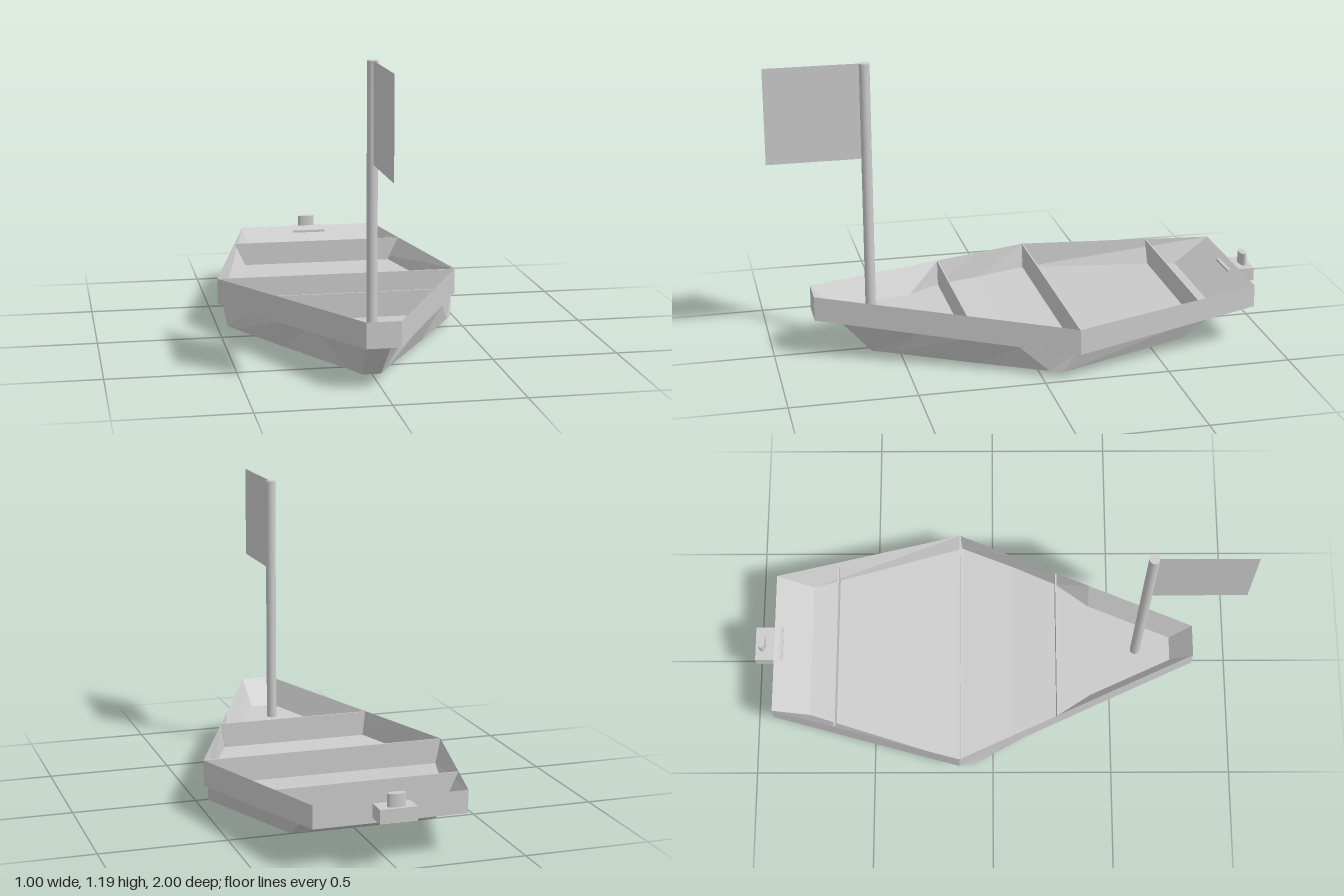
import * as THREE from 'three';

const grey = new THREE.MeshStandardMaterial({ color: 0xcccccc, flatShading: true });
const greyBoth = new THREE.MeshStandardMaterial({ color: 0xcccccc, flatShading: true, side: THREE.DoubleSide });

// Half outlines [x, y, z] from bow to stern; mirrored into closed rings
const ring = (half) => [...half, ...half.map(([x, y, z]) => [-x, y, z]).reverse()];

// Outer plank edge: piecewise straight bow -> widest point -> stern
const bow = [0.065, 0.84], mid = [0.5, -0.14], stern = [0.3, -0.92];
function plankEdge(yBow, yMid, yStern) {
  const front = [0.84, 0.41, 0.27, 0.08, -0.14].map((z) => {
    const t = (bow[1] - z) / (bow[1] - mid[1]);
    return [bow[0] + (mid[0] - bow[0]) * t, yBow + (yMid - yBow) * t, z];
  });
  return ring([...front, [stern[0], yStern, stern[1]]]);
}

const rimTop = plankEdge(0.265, 0.21, 0.25);
const rimBottom = plankEdge(0.165, 0.105, 0.16);
const floorEdge = ring([
  [0.05, 0.16, 0.75], [0.2, 0.138, 0.41], [0.305, 0.13, 0.27],
  [0.395, 0.115, 0.08], [0.482, 0.107, -0.13], [0.287, 0.145, -0.77],
]);
const keelEdge = ring([
  [0.035, 0, 0.61], [0.07, 0.002, 0.55], [0.28, 0.012, 0.22],
  [0.44, 0.023, -0.03], [0.468, 0.025, -0.08], [0.29, 0.045, -0.62],
]);

const quad = (out, a, b, c, d) => out.push(...a, ...b, ...c, ...a, ...c, ...d);

// Strip of faces joining two rings
function band(out, lower, upper) {
  lower.forEach((p, i) => {
    const j = (i + 1) % lower.length;
    quad(out, p, lower[j], upper[j], upper[i]);
  });
}

// Fills a ring with strips running from side to side
function cap(out, r, up) {
  const n = r.length;
  for (let i = 0; i < n / 2 - 1; i++) {
    const q = [r[i], r[i + 1], r[n - 2 - i], r[n - 1 - i]];
    quad(out, ...(up ? q : q.reverse()));
  }
}

function addMesh(group, name, geometry, material = grey) {
  const mesh = new THREE.Mesh(geometry, material);
  mesh.name = name;
  group.add(mesh);
  return mesh;
}

function faces(build) {
  const out = [];
  build(out);
  const g = new THREE.BufferGeometry();
  g.setAttribute('position', new THREE.Float32BufferAttribute(out, 3));
  g.computeVertexNormals();
  return g;
}

export function createModel() {
  const boat = new THREE.Group();
  boat.name = 'boat';

  // Hull, surrounding planks and deck floor
  addMesh(boat, 'hull', faces((o) => { cap(o, keelEdge, false); band(o, keelEdge, floorEdge); }));
  addMesh(boat, 'gunwale', faces((o) => {
    band(o, floorEdge, rimBottom);
    band(o, rimBottom, rimTop);
    band(o, rimTop, floorEdge);
  }));
  addMesh(boat, 'floor', faces((o) => cap(o, floorEdge, true)));

  // Thin upright dividers: z, top half width, top y, bottom half width, bottom y
  for (const [z, wt, yt, wb, yb] of [
    [0.27, 0.316, 0.232, 0.305, 0.13],
    [-0.14, 0.498, 0.21, 0.48, 0.107],
    [-0.66, 0.365, 0.236, 0.32, 0.139],
  ]) {
    const shape = new THREE.Shape([[-wb, yb], [wb, yb], [wt, yt], [-wt, yt]].map((p) => new THREE.Vector2(...p)));
    const g = new THREE.ExtrudeGeometry(shape, { depth: 0.006, bevelEnabled: false });
    addMesh(boat, 'divider', g).position.z = z - 0.003;
  }

  // Mast and flag
  const mastGeometry = new THREE.CylinderGeometry(0.021, 0.021, 1.05, 16);
  const smooth = new THREE.MeshStandardMaterial({ color: 0xcccccc });
  addMesh(boat, 'mast', mastGeometry, smooth).position.set(0, 0.665, 0.605);
  const flag = addMesh(boat, 'flag', new THREE.PlaneGeometry(0.39, 0.385), greyBoth);
  flag.rotation.y = Math.PI / 2;
  flag.position.set(0, 0.9975, 0.805);

  // Stern bracket with its oval peg
  const bracket = addMesh(boat, 'sternBracket', new THREE.BoxGeometry(0.144, 0.055, 0.115));
  bracket.position.set(0, 0.2075, -0.9425);
  const peg = addMesh(boat, 'sternPeg', new THREE.CylinderGeometry(1, 1, 0.06, 16), smooth);
  peg.scale.set(0.036, 1, 0.016);
  peg.position.set(0, 0.255, -0.972);

  return boat;
}
